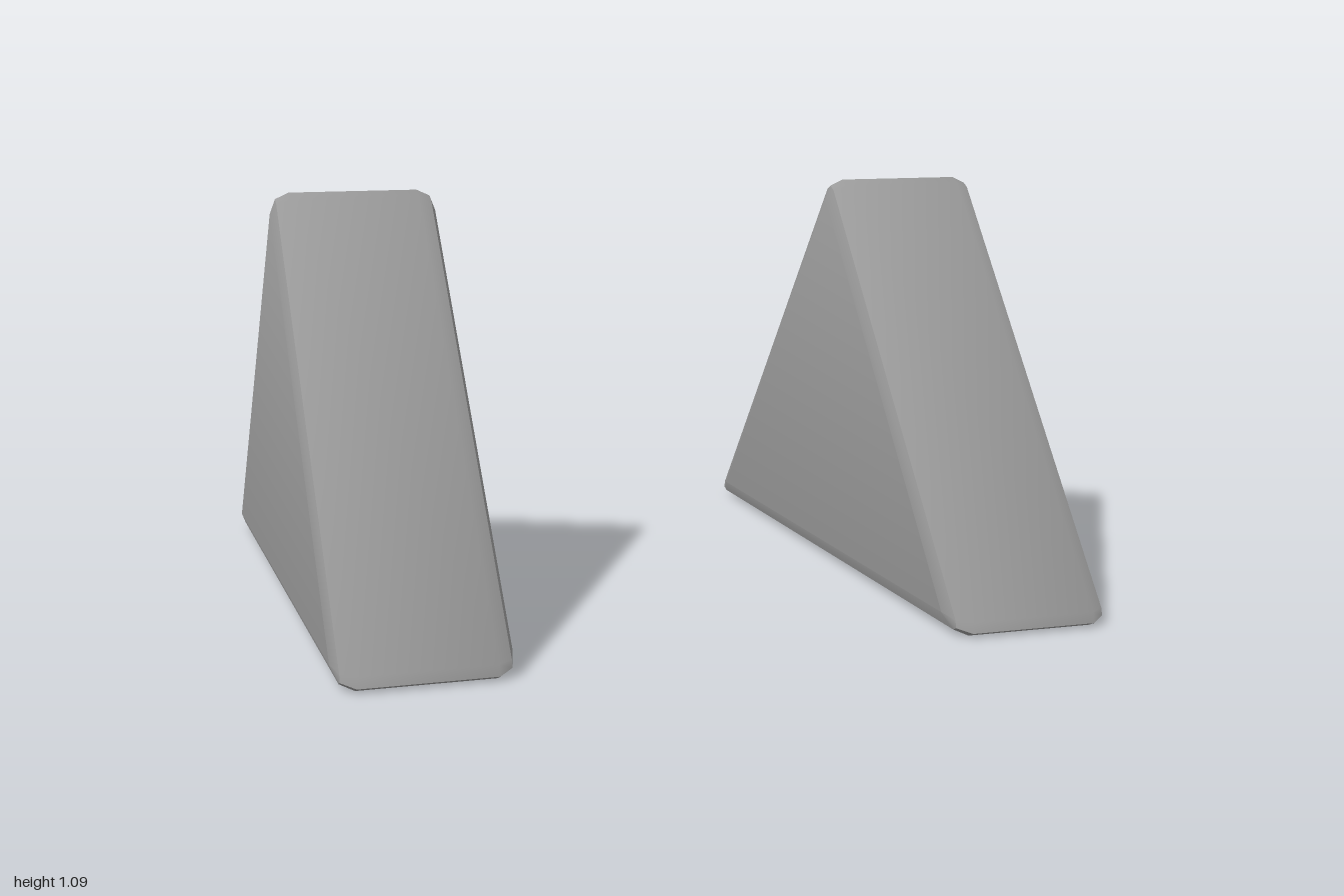
import * as THREE from 'three';
import { toCreasedNormals } from 'three/addons/utils/BufferGeometryUtils.js';

const BEVEL = 0.05;
const MID = 0.293; // midpoint of a quarter-round bevel
const HALF_WIDTH = 0.22;
const CREASE = THREE.MathUtils.degToRad(40);

// Triangular prism along x, every edge rounded with a two-segment bevel
function wedgeGeometry() {
  // Sharp profile as (z, y): apex, front corner, back corner
  const corners = [[0, 1.11], [0.927, 0], [-0.927, 0]].map(([z, y]) => new THREE.Vector2(z, y));
  const outer = [];
  const inner = [];
  corners.forEach((c, i) => {
    const e1 = corners[(i + 2) % 3].clone().sub(c).normalize();
    const e2 = corners[(i + 1) % 3].clone().sub(c).normalize();
    const sinHalf = Math.sqrt((1 - e1.dot(e2)) / 2);
    const inset = c.clone().addScaledVector(e1.clone().add(e2).normalize(), BEVEL / sinHalf);
    outer.push(
      c.clone().addScaledVector(e1, BEVEL),
      c.clone().addScaledVector(e1, BEVEL * MID).addScaledVector(e2, BEVEL * MID),
      c.clone().addScaledVector(e2, BEVEL)
    );
    inner.push(inset, inset, inset);
  });

  // Rings as [x, amount of shrink from outer profile to end face]
  const half = [[HALF_WIDTH, 1], [HALF_WIDTH - BEVEL * MID, MID], [HALF_WIDTH - BEVEL, 0]];
  const rings = [...half.map(([x, t]) => [-x, t]), ...half.slice().reverse()];
  const n = outer.length;
  const positions = [];
  for (const [x, t] of rings) {
    for (let j = 0; j < n; j++) {
      const p = outer[j].clone().lerp(inner[j], t);
      positions.push(x, p.y, p.x);
    }
  }

  // Skin between the rings; corner quads become triangles at the end faces
  const index = [];
  const last = rings.length - 1;
  for (let i = 0; i < last; i++) {
    for (let j = 0; j < n; j++) {
      const a = i * n + j, b = i * n + (j + 1) % n;
      const c = b + n, d = a + n;
      const corner = j % 3 !== 2;
      if (!(corner && i === 0)) index.push(a, b, c);
      if (!(corner && i === last - 1)) index.push(a, c, d);
    }
  }
  // End faces
  index.push(0, 6, 3, last * n, last * n + 3, last * n + 6);

  const geometry = new THREE.BufferGeometry();
  geometry.setAttribute('position', new THREE.Float32BufferAttribute(positions, 3));
  geometry.setIndex(index);
  return toCreasedNormals(geometry, CREASE);
}

export function createModel() {
  const group = new THREE.Group();
  group.name = 'wedgePair';
  const material = new THREE.MeshStandardMaterial({ color: 0x9a9a9a });
  const geometry = wedgeGeometry();
  // Matching wedges on either side
  for (const side of [1, -1]) {
    const wedge = new THREE.Mesh(geometry, material);
    wedge.name = side > 0 ? 'leftWedge' : 'rightWedge';
    wedge.position.x = side * (1 - HALF_WIDTH);
    group.add(wedge);
  }
  return group;
}
